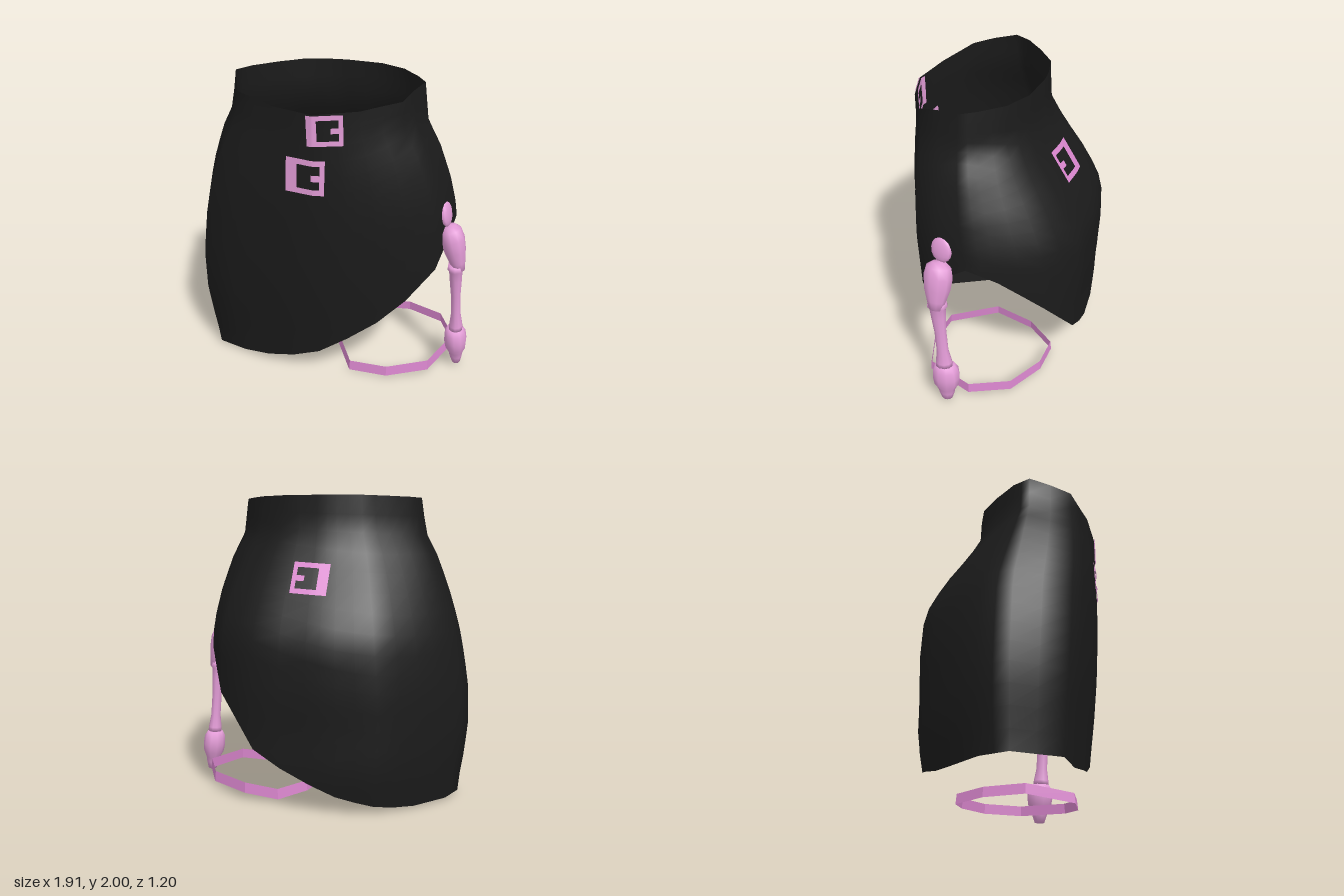
import * as THREE from 'three';

function material(name, color) {
  const m = new THREE.MeshStandardMaterial({ color, side: THREE.DoubleSide });
  m.name = name;
  return m;
}
const fabric = material('black fabric', 0x1b1b1b);
const pink = material('pink trim', 0xdb87cf);
const palePink = material('pale pink', 0xe29bd6);

// piecewise linear lookup in rows sorted by ascending first value
function sample(rows, t) {
  if (t <= rows[0][0]) return rows[0].slice(1);
  for (let i = 1; i < rows.length; i++) {
    const a = rows[i - 1], b = rows[i];
    if (t <= b[0]) {
      const k = (t - a[0]) / (b[0] - a[0]);
      return a.slice(1).map((v, j) => v + (b[j + 1] - v) * k);
    }
  }
  return rows[rows.length - 1].slice(1);
}

// skirt sections: y, width to -x, width to +x, front z, back z, side z, corner rounding
const SECTIONS = [
  [0.02, 0.895, 0.83, 0.47, -0.53, 0.01, 0], [0.16, 0.91, 0.83, 0.485, -0.565, 0.01, 0],
  [0.28, 0.93, 0.83, 0.50, -0.585, 0.01, 0], [0.5, 0.955, 0.83, 0.53, -0.585, 0.01, 0],
  [0.78, 0.945, 0.83, 0.56, -0.6, 0.02, 0], [1.08, 0.895, 0.82, 0.58, -0.59, 0.03, 0],
  [1.2, 0.865, 0.805, 0.585, -0.545, 0.05, 0], [1.38, 0.81, 0.765, 0.59, -0.45, 0.08, 0.02],
  [1.6, 0.73, 0.69, 0.59, -0.31, 0.11, 0.06], [1.76, 0.645, 0.61, 0.59, -0.24, 0.13, 0.11],
  [2, 0.61, 0.58, 0.595, -0.23, 0.13, 0.11],
];
// outline halves: side fraction against front or back fraction
const FRONT = [[-1, 0], [-0.87, 0.63], [-0.42, 0.9], [0, 1], [0.46, 0.88], [0.88, 0.61], [1, 0]];
const BACK = [[-1, 0], [-0.91, 0.31], [-0.69, 0.65], [-0.42, 0.95], [-0.15, 1],
  [0.05, 1], [0.47, 0.95], [0.765, 0.7], [0.93, 0.29], [1, 0]];
// hem height across x, front and back
const HEM = [[-0.9, 0.02], [-0.55, 0.02], [-0.17, 0.11], [0, 0.19], [0.2, 0.32],
  [0.47, 0.53], [0.64, 0.71], [0.75, 0.88], [0.82, 1.09]];
const BACK_HEM = [...HEM.slice(0, 4), [0.2, 0.29], [0.39, 0.41], [0.635, 0.74], [0.77, 1], [0.82, 1.09]];

function skirtPoint(u, v, y) {
  const [left, right, zf, zb, zc, rounding] = sample(SECTIONS, y);
  const k = 1 - rounding * Math.abs(u * v);
  return [k * u * (u < 0 ? left : right), y, zc + k * v * (v > 0 ? zf - zc : zc - zb)];
}

function skirtZ(x, y, back) {
  const [left, right, zf, zb, zc, rounding] = sample(SECTIONS, y);
  const u = x / (x < 0 ? left : right);
  const v = sample(back ? BACK : FRONT, u)[0];
  return zc + v * (1 - rounding * Math.abs(u) * v) * (back ? zb - zc : zf - zc);
}

// surface through a grid of points; closed joins the last column to the first
function gridGeometry(columns, closed) {
  const n = columns.length, m = columns[0].length, index = [];
  for (let i = 0; i < (closed ? n : n - 1); i++) {
    for (let j = 0; j < m - 1; j++) {
      const a = i * m + j, b = ((i + 1) % n) * m + j;
      index.push(a, a + 1, b, b, a + 1, b + 1);
    }
  }
  const g = new THREE.BufferGeometry();
  g.setAttribute('position', new THREE.Float32BufferAttribute(columns.flat(2), 3));
  g.setIndex(index);
  g.computeVertexNormals();
  return g;
}

function faceted(g) {
  const f = g.toNonIndexed();
  f.computeVertexNormals();
  return f;
}

function add(parent, name, geometry, mat) {
  const mesh = new THREE.Mesh(geometry, mat);
  mesh.name = name;
  parent.add(mesh);
  return mesh;
}

function skirtGeometry() {
  const outline = [...FRONT, ...BACK.slice(1, -1).reverse().map(([u, v]) => [u, -v])];
  const columns = [];
  outline.forEach(([u0, v0], i) => {
    const [u1, v1] = outline[(i + 1) % outline.length];
    for (const k of [0, 0.5]) {
      const u = u0 + (u1 - u0) * k, v = v0 + (v1 - v0) * k;
      const top = v > 0 ? 1.99 - 0.1 * v ** 1.5 : 1.99 - 0.01 * v;
      let hem = 0.5;
      for (let n = 0; n < 12; n++) hem = sample(v < 0 ? BACK_HEM : HEM, skirtPoint(u, v, hem)[0])[0];
      const column = [];
      for (let j = 0; j <= 16; j++) column.push(skirtPoint(u, v, top + (hem - top) * j / 16));
      columns.push(column);
    }
  });
  return gridGeometry(columns, true);
}

// inner crotch strip flaring to the front and back walls; rows: z, edge y, middle y, half width
function gussetGeometry() {
  const rows = [[0.41, 0.41, 0.4, 0.24], [0.1, 0.37, 0.37, 0.045], [-0.17, 0.37, 0.37, 0.045],
    [-0.35, 0.42, 0.3, 0.21]];
  const across = [-1, -0.5, 0, 0.5, 1];
  const wall = (x, y, back) => [x, y, skirtZ(x, y, back) + (back ? 0.012 : -0.012)];
  const front = across.map((k) => wall(k * (k < 0 ? 0.46 : 0.36), 0.5, false));
  const back = across.map((k) => wall(k * 0.6, 0.5 + 0.23 * Math.abs(k), true));
  const strips = rows.map(([z, edge, mid, h]) =>
    across.map((k) => [k * h, mid + (edge - mid) * Math.abs(k), z]));
  return faceted(gridGeometry([front, ...strips, back], false));
}

// flat frame with a thick left bar and a short prong, laid on both cloth faces
function addBuckle(parent, name, mat, cx, cy, w, h, back, tilt) {
  const buckle = new THREE.Group();
  buckle.name = name;
  const bars = [ // x0, x1, y0, y1 as fractions of the frame
    [0, 0.29, 0, 1], [0.29, 0.88, 0, 0.16], [0.29, 0.88, 0.84, 1],
    [0.88, 1, 0, 1], [0.66, 0.88, 0.4, 0.58],
  ];
  for (const [x0, x1, y0, y1] of bars) {
    for (const side of [-1, 1]) {
      const g = new THREE.PlaneGeometry((x1 - x0) * w, (y1 - y0) * h, 8, 8);
      g.translate(((x0 + x1) / 2 - 0.5) * w, ((y0 + y1) / 2 - 0.5) * h, 0);
      g.rotateZ(tilt);
      g.translate(cx, cy, 0);
      const p = g.attributes.position;
      for (let i = 0; i < p.count; i++) p.setZ(i, skirtZ(p.getX(i), p.getY(i), back) + side * 0.008);
      if (back) g.index.array.reverse();
      g.computeVertexNormals();
      add(buckle, side > 0 ? 'buckleBar' : 'buckleBarBacking', g, mat);
    }
  }
  parent.add(buckle);
}

// turned bone piece between two points; profile is [radius, fraction from bottom]
function addBone(parent, name, from, to, profile) {
  const a = new THREE.Vector3(...from), b = new THREE.Vector3(...to);
  const length = a.distanceTo(b);
  const g = new THREE.LatheGeometry(profile.map(([r, t]) => new THREE.Vector2(r, t * length)), 10);
  g.scale(0.82, 1, 1);
  const mesh = add(parent, name, g, palePink);
  mesh.position.copy(a);
  mesh.quaternion.setFromUnitVectors(new THREE.Vector3(0, 1, 0), b.sub(a).normalize());
}

export function createModel() {
  const model = new THREE.Group();
  model.name = 'skirtWithGarter';

  add(model, 'skirt', skirtGeometry(), fabric);
  add(model, 'gusset', gussetGeometry(), fabric);

  addBuckle(model, 'waistBuckle', palePink, 0.07, 1.795, 0.21, 0.185, false, 0.03);
  addBuckle(model, 'frontBuckle', palePink, -0.05, 1.505, 0.24, 0.22, false, -0.03);
  addBuckle(model, 'backBuckle', pink, 0.05, 1.48, 0.235, 0.19, true, 0.06);

  // hanging bone strap
  const strap = new THREE.Group();
  strap.name = 'boneStrap';
  model.add(strap);
  const tab = add(strap, 'strapTab', new THREE.SphereGeometry(1, 12, 8), palePink);
  tab.scale.set(0.026, 0.082, 0.075);
  tab.position.set(0.765, 1.168, 0.197);
  tab.rotation.set(0, -0.25, 0.2);
  addBone(strap, 'upperKnuckle', [0.875, 0.78, 0.215], [0.79, 1.1, 0.205],
    [[0, 0], [0.045, 0.02], [0.062, 0.2], [0.085, 0.45], [0.094, 0.7], [0.08, 0.9], [0.045, 0.98], [0, 1]]);
  addBone(strap, 'shaft', [0.88, 0.3, 0.18], [0.848, 0.83, 0.215],
    [[0, 0], [0.057, 0.02], [0.055, 0.08], [0.04, 0.25], [0.04, 0.55], [0.05, 0.78],
      [0.054, 0.9], [0.067, 0.93], [0.062, 0.99], [0, 1]]);
  addBone(strap, 'lowerKnuckle', [0.9, 0.03, 0.165], [0.873, 0.32, 0.175],
    [[0, 0], [0.035, 0.01], [0.052, 0.18], [0.06, 0.3], [0.085, 0.45], [0.094, 0.65],
      [0.088, 0.85], [0.065, 0.97], [0, 1]]);

  // thigh band, slightly wider at its lower edge: x, z, bottom height
  const band = [[0.025, 0.08, 0.03], [0.19, 0.4, 0.005], [0.45, 0.43, 0.02], [0.72, 0.35, 0.06],
    [0.86, 0.03, 0.075], [0.75, -0.23, 0.07], [0.5, -0.37, 0.05], [0.27, -0.39, 0.025], [0.11, -0.2, 0.03]];
  const rings = band.map(([x, z, y]) => [[0.45 + (x - 0.45) * 0.985, y + 0.07, z * 0.985], [x, y, z]]);
  add(model, 'thighBand', faceted(gridGeometry(rings, true)), pink);

  return model;
}
